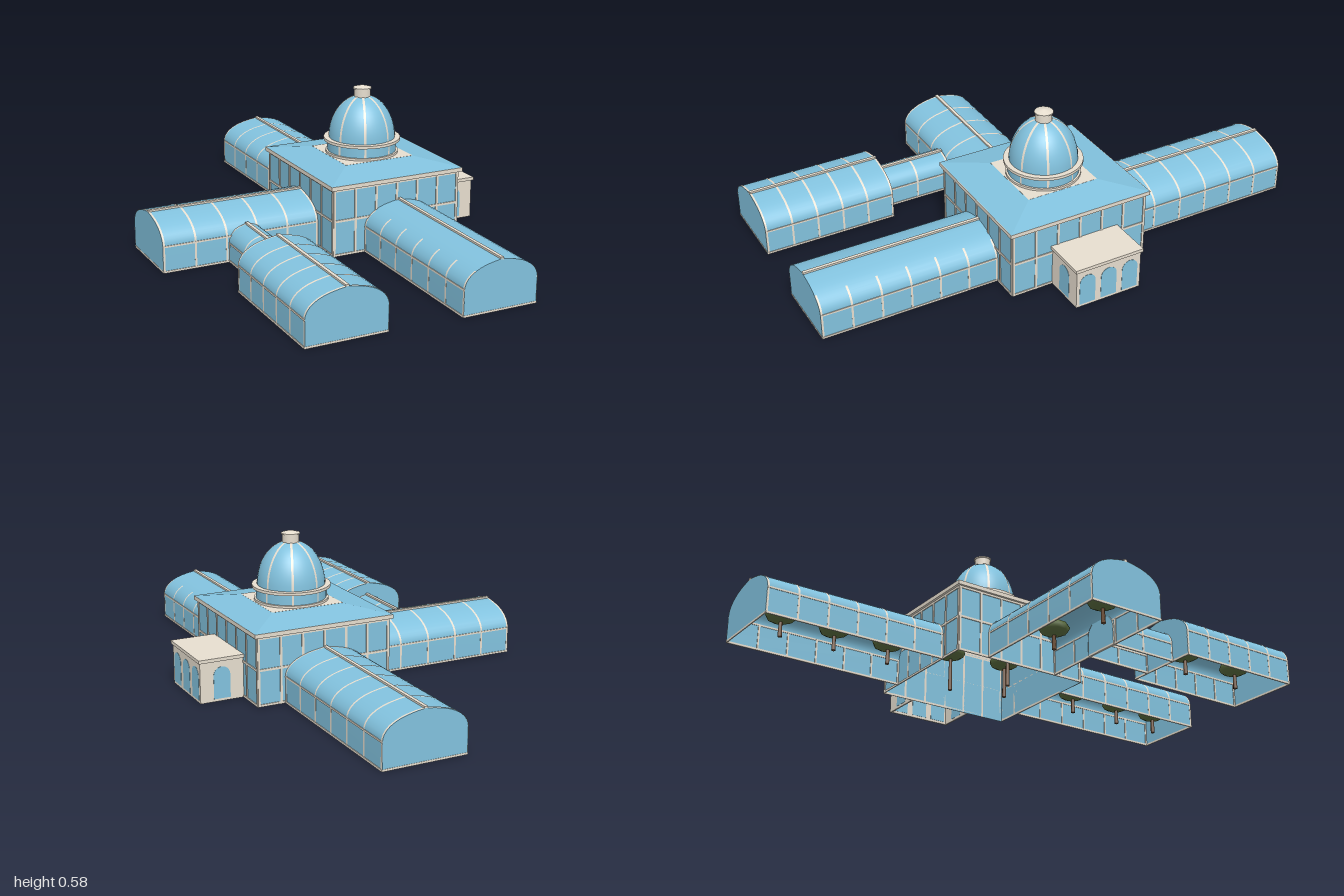
import * as THREE from 'three';

const mat = (name, color, side = THREE.FrontSide) => {
  const m = new THREE.MeshStandardMaterial({ color, side });
  m.name = name;
  return m;
};

export function createModel() {
  const glass = mat('glass', 0x82c2de, THREE.DoubleSide);
  const stone = mat('paleStone', 0xe8dfd0, THREE.DoubleSide);
  const leaf = mat('leafGreen', 0x5c6e40);
  const bark = mat('bark', 0x6f5038);
  const root = new THREE.Group();
  root.name = 'glasshouse';

  const add = (parent, name, geo, material, x = 0, y = 0, z = 0) => {
    const m = new THREE.Mesh(geo, material);
    m.name = name;
    m.position.set(x, y, z);
    parent.add(m);
    return m;
  };
  const box = (parent, name, w, h, d, x, y, z) =>
    add(parent, name, new THREE.BoxGeometry(w, h, d), stone, x, y, z);
  const group = (name, x = 0, y = 0, z = 0) => {
    const g = new THREE.Group();
    g.name = name;
    g.position.set(x, y, z);
    root.add(g);
    return g;
  };

  // Tree with a flattened crown
  const tree = (parent, x, z, crownY, r) => {
    const t = new THREE.Group();
    t.name = 'tree';
    t.position.set(x, 0, z);
    parent.add(t);
    add(t, 'trunk', new THREE.CylinderGeometry(r * 0.1, r * 0.15, crownY, 6), bark, 0, crownY / 2, 0);
    add(t, 'crown', new THREE.SphereGeometry(r, 10, 6), leaf, 0, crownY, 0).scale.y = 0.48;
  };

  // Vault cross-section from +x over a slightly pointed ridge to -x
  const arc = [[1, 0], [0.99, 0.14], [0.96, 0.28], [0.9, 0.43], [0.82, 0.56], [0.7, 0.69],
    [0.57, 0.79], [0.42, 0.87], [0.2, 0.95]];
  const profile = (w, h, off = 0) => {
    const spring = h * 0.53;
    const right = arc.map(([u, v]) => [(w + off) * u, spring + (h - spring + off) * v]);
    const left = right.map(([x, y]) => [-x, y]).reverse();
    return [[w + off, 0], ...right, [0, h + off], ...left, [-w - off, 0]];
  };
  // Open sheet following a cross-section along z
  const sheet = (pts, len) => {
    const geo = new THREE.PlaneGeometry(1, 1, pts.length - 1, 1);
    const p = geo.attributes.position;
    for (let i = 0; i < p.count; i++) {
      const [x, y] = pts[i % pts.length];
      p.setXYZ(i, x, y, p.getY(i) * len);
    }
    geo.computeVertexNormals();
    return geo;
  };

  // Vaulted glass wing running along its own z axis; ribDrop sinks the rib crowns into the glass
  const wing = ({ name, w, h, len, bays, x, z, trees = [], turn = 0, ribDrop = 0 }) => {
    const g = group(name, x, 0, z);
    g.rotation.y = turn;
    const pts = profile(w, h);
    const endShape = new THREE.Shape(pts.map(([px, py]) => new THREE.Vector2(px, py)));
    add(g, 'glassVault', sheet(pts, len), glass);
    for (const s of [-1, 1]) {
      const end = add(g, 'glassEndWall', new THREE.ShapeGeometry(endShape), glass, 0, 0, (s * len) / 2);
      if (s < 0) end.rotation.y = Math.PI;
      box(g, 'endSill', 2 * w, 0.008, 0.004, 0, 0.004, s * (len / 2 - 0.001));
      box(g, 'baseRail', 0.005, 0.008, len, s * w, 0.004, 0);
      box(g, 'springRail', 0.004, 0.007, len, s * w, h * 0.53, 0);
    }
    const ribPts = profile(w, h - ribDrop, 0.0015);
    for (let i = 0; i <= bays; i++) {
      const zz = (len - 0.008) * (i / bays - 0.5);
      add(g, 'archRib', sheet(ribPts, 0.008), stone, 0, 0, zz);
      for (const s of [-1, 1]) box(g, 'sidePost', 0.003, h * 0.53, 0.007, s * (w - 0.001), h * 0.265, zz);
    }
    box(g, 'ridgeBar', 0.013, 0.01, len, 0, h + 0.001, 0);
    for (const t of trees) tree(g, 0, t, 0.085, 0.06);
  };
  wing({ name: 'backWing', w: 0.162, h: 0.192, len: 0.73, bays: 6, x: 0.224, z: -0.635, trees: [-0.23, -0.01, 0.22] });
  wing({ name: 'frontWing', w: 0.147, h: 0.19, len: 0.7, bays: 6, x: 0.237, z: 0.65, trees: [-0.17, 0.06, 0.26], ribDrop: 0.002 });
  wing({ name: 'rightWing', w: 0.153, h: 0.192, len: 0.63, bays: 5, x: -0.362, z: 0.019, trees: [-0.18, 0.11], turn: Math.PI / 2 });
  wing({ name: 'outerHouse', w: 0.154, h: 0.19, len: 0.53, bays: 5, x: -0.347, z: 0.72, trees: [-0.14, 0.12] });
  wing({ name: 'linkPassage', w: 0.073, h: 0.14, len: 0.29, bays: 2, x: -0.341, z: 0.312 });

  // Central hall walls with a grid of glazing bars on the outside
  const hx = 0.271, hz = 0.284;
  const hall = group('centralHall', 0.2255, 0, 0.016);
  for (let k = 0; k < 4; k++) {
    const [half, dist] = k % 2 ? [hz, hx] : [hx, hz];
    const side = new THREE.Group();
    side.name = 'hallSide';
    side.rotation.y = (k * Math.PI) / 2;
    hall.add(side);
    add(side, 'glassWall', new THREE.PlaneGeometry(2 * half, 0.27), glass, 0, 0.135, dist);
    for (let i = 0; i <= 6; i++)
      box(side, 'wallPost', 0.009, 0.265, 0.003, (half - 0.0045) * (i / 3 - 1), 0.1325, dist + 0.0015);
    for (const y of [0.005, 0.14, 0.261]) box(side, 'wallRail', 2 * half, 0.009, 0.003, 0, y, dist + 0.0015);
    box(side, 'cornice', 2 * half + 0.025, 0.016, 0.0125, 0, 0.273, dist + 0.00625);
  }
  // Low hipped roof, open to the inside
  const roof = new THREE.CylinderGeometry(1, 1, 0.026, 4, 1, true).rotateY(Math.PI / 4).toNonIndexed();
  const rp = roof.attributes.position;
  for (let i = 0; i < rp.count; i++) {
    const [ex, ez] = rp.getY(i) < 0 ? [0.282, 0.294] : [0.147, 0.147];
    rp.setXYZ(i, Math.sign(rp.getX(i)) * ex, rp.getY(i), Math.sign(rp.getZ(i)) * ez);
  }
  roof.computeVertexNormals();
  add(hall, 'hippedRoof', roof, glass, 0, 0.294, 0);
  box(hall, 'domePlatform', 0.294, 0.005, 0.294, 0, 0.305, 0);
  for (const [x, z, y] of [[-0.08, 0.07, 0.23], [0.03, 0.13, 0.15], [0.09, -0.09, 0.16]]) tree(hall, x, z, y, 0.06);

  // Drum, ribbed dome and lantern
  const dome = group('dome', 0.2255, 0, 0.016);
  const cyl = (name, r1, r2, h, y, m = stone, n = 32) =>
    add(dome, name, new THREE.CylinderGeometry(r1, r2, h, n), m, 0, y, 0);
  const domeCurve = (off) => Array.from({ length: 15 }, (_, i) => {
    const a = (i / 14) * (Math.PI / 2);
    return new THREE.Vector2((0.13 + off) * Math.cos(a), 0.368 + (0.168 + off) * Math.sin(a));
  });
  cyl('drumBase', 0.143, 0.143, 0.01, 0.311);
  cyl('glassDrum', 0.135, 0.135, 0.046, 0.337, glass);
  cyl('drumCornice', 0.151, 0.151, 0.011, 0.363);
  add(dome, 'glassDome', new THREE.LatheGeometry(domeCurve(0), 48), glass);
  // Dome ribs are narrow curved strips of constant width
  for (let i = 0; i < 8; i++) {
    const strip = new THREE.PlaneGeometry(0.009, 1, 1, 14);
    const path = domeCurve(0.0015);
    const p = strip.attributes.position;
    for (let j = 0; j < p.count; j++) {
      const c = path[14 - Math.floor(j / 2)];
      p.setXYZ(j, p.getX(j), c.y, c.x);
    }
    strip.computeVertexNormals();
    const turn = ((i + 0.5) * Math.PI) / 4;
    add(dome, 'domeRib', strip, stone).rotation.y = turn;
    const post = add(dome, 'drumPost', new THREE.PlaneGeometry(0.008, 0.044), stone);
    post.position.set(0.1365 * Math.sin(turn), 0.337, 0.1365 * Math.cos(turn));
    post.rotation.y = turn;
  }
  cyl('lantern', 0.032, 0.032, 0.035, 0.547, stone, 16);
  cyl('lanternRim', 0.036, 0.036, 0.005, 0.564, stone, 16);
  cyl('lanternCap', 0.004, 0.036, 0.009, 0.571, stone, 16);

  // Stone entrance porch with arched panes
  const porch = group('entrancePorch', 0.583, 0, -0.003);
  const pw = 0.086, pd = 0.136;
  const pane = new THREE.Shape();
  pane.moveTo(-0.033, 0.01);
  pane.lineTo(0.033, 0.01);
  pane.lineTo(0.033, 0.1);
  pane.absarc(0, 0.1, 0.033, 0, Math.PI, false);
  pane.closePath();
  const paneGeo = new THREE.ExtrudeGeometry(pane, { depth: 0.008, bevelEnabled: false, curveSegments: 12 });
  const porchSide = (half, dist, turn, centres) => {
    const side = new THREE.Group();
    side.name = 'porchSide';
    side.rotation.y = turn;
    porch.add(side);
    box(side, 'porchWall', 2 * half, 0.156, 0.006, 0, 0.078, dist - 0.003);
    for (const c of centres) add(side, 'archedPane', paneGeo, glass, c, 0, dist - 0.007);
  };
  porchSide(pw, pd, 0, [0]);
  porchSide(pw, pd, Math.PI, [0]);
  porchSide(pd, pw, Math.PI / 2, [-0.09, 0, 0.09]);
  box(porch, 'porchRoof', 0.178, 0.013, 0.286, 0.003, 0.1625, 0);

  return root;
}
